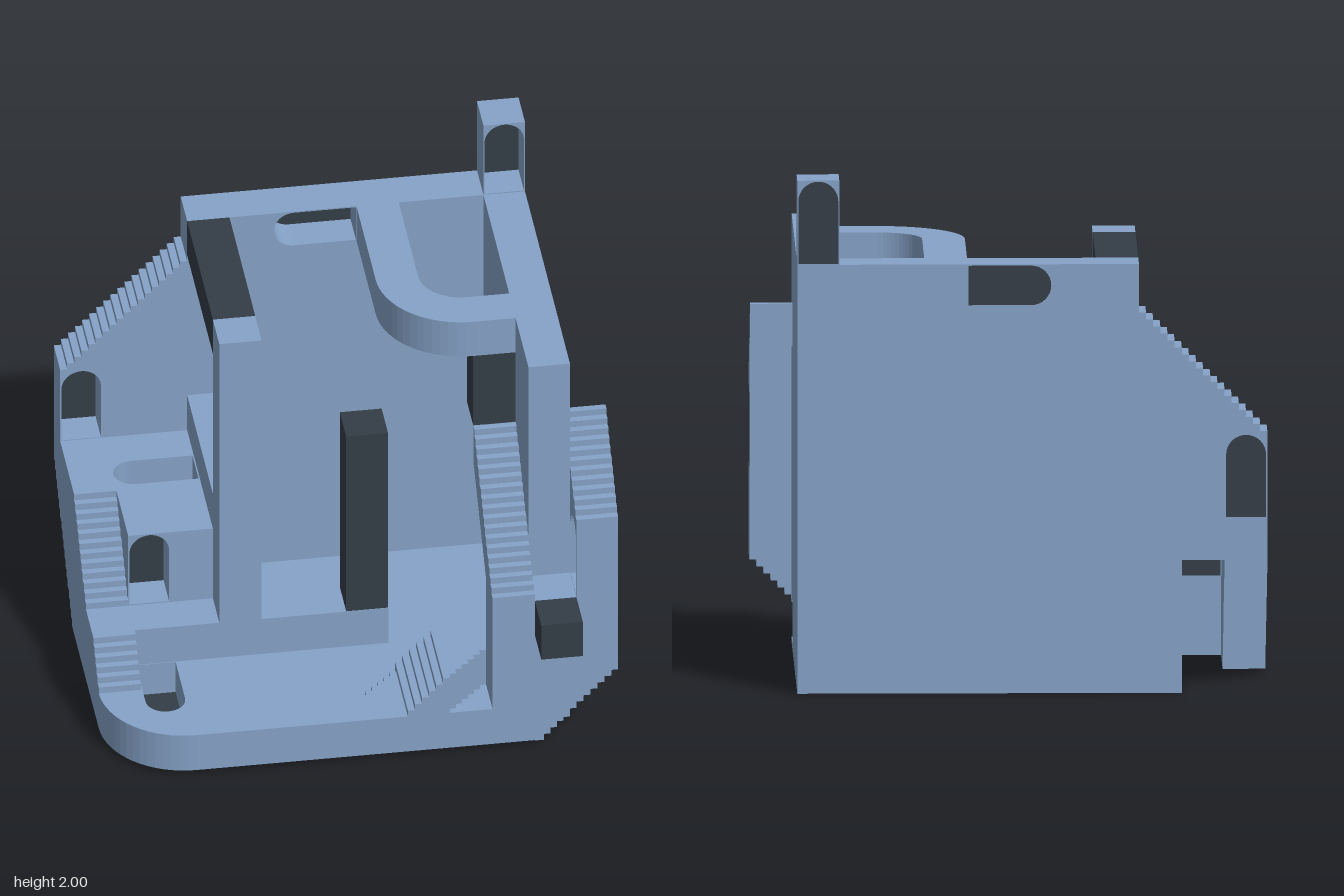
import * as THREE from 'three';

const STEP = 0.0275;
const main = new THREE.MeshStandardMaterial({ color: 0x86a3c8, flatShading: true });
const dark = new THREE.MeshStandardMaterial({ color: 0x343d47, flatShading: true });

// Fine staircase between two points; vFirst picks which way each step turns first
function stairs(a, b, vFirst = false) {
  const n = Math.round(Math.abs(b[0] - a[0]) / STEP);
  const dx = (b[0] - a[0]) / n, dy = (b[1] - a[1]) / n;
  const out = [];
  for (let i = 0; i < n; i++) {
    const x = a[0] + i * dx, y = a[1] + i * dy;
    out.push([x, y], vFirst ? [x, y + dy] : [x + dx, y]);
  }
  out.push(b);
  return out;
}

// Outline of a round-ended doorway: middle of its sill, and heading of its round end
function slot(x, y, angle) {
  const r = 0.077, len = 0.32, pts = [[0, -r]];
  for (let i = 0; i <= 16; i++) {
    const t = -Math.PI / 2 + (Math.PI * i) / 16;
    pts.push([len - r + r * Math.cos(t), r * Math.sin(t)]);
  }
  pts.push([0, r]);
  const c = Math.cos(angle), s = Math.sin(angle);
  return pts.map(([u, v]) => [x + u * c - v * s, y + u * s + v * c]);
}

const toV = (pts) => pts.map((p) => new THREE.Vector2(p[0], p[1]));

export function createModel() {
  const model = new THREE.Group();

  function add(name, geo, mat = main) {
    const mesh = new THREE.Mesh(geo, mat);
    mesh.name = name;
    model.add(mesh);
  }
  function box(name, x0, x1, y0, y1, z0, z1, mat) {
    const g = new THREE.BoxGeometry(x1 - x0, y1 - y0, z1 - z0);
    add(name, g.translate((x0 + x1) / 2, (y0 + y1) / 2, (z0 + z1) / 2), mat);
  }
  // Profiles: axis z uses (x, y), axis x uses (z, y), axis y uses (x, z)
  function slab(name, axis, pts, lo, hi, holes = [], mat = main) {
    const shape = new THREE.Shape(toV(pts));
    shape.holes = holes.map((h) => new THREE.Path(toV(h)));
    const g = new THREE.ExtrudeGeometry(shape, { depth: hi - lo, bevelEnabled: false });
    if (axis === 'z') g.translate(0, 0, lo);
    if (axis === 'x') g.rotateY(-Math.PI / 2).translate(hi, 0, 0);
    if (axis === 'y') g.rotateX(Math.PI / 2).translate(0, hi, 0);
    add(name, g, mat);
  }
  const UP = Math.PI / 2;

  // Base and back wall with a stepped corner and a lower notch
  box('basePlate', -0.66, 0.822, 0, 0.022, -0.825, 0.495);
  const backDoor = slot(-0.908, 0.685, UP), backSlot = slot(0.163, 1.59, Math.PI);
  slab('backWall', 'z', [
    [-0.66, 0.02], [0.66, 0.02], [0.66, 1.672], [-0.495, 1.672],
    ...stairs([-0.495, 1.51], [-0.99, 1.02], true),
    [-0.99, 0.517], [-0.66, 0.517],
  ], -0.825, -0.66, [backDoor, backSlot]);
  slab('backDoorPanel', 'z', backDoor, -0.825, -0.8, [], dark);
  slab('backSlotPanel', 'z', backSlot, -0.825, -0.8, [], dark);

  // Right-hand wall with a low opening, and the tall corner post
  slab('sideWall', 'x', [
    [-0.825, 0.02], [0.33, 0.02], [0.33, 0.187], [0.495, 0.187], [0.495, 1.672], [-0.825, 1.672],
  ], 0.66, 0.822);
  const postDoor = slot(0.741, 1.676, UP);
  slab('cornerPost', 'z', [[0.66, 1.672], [0.822, 1.672], [0.822, 2], [0.66, 2]], -0.825, -0.66, [postDoor]);
  slab('cornerPostPanel', 'z', postDoor, -0.825, -0.8, [], dark);

  // Curved upper walkway
  const arc = (r) => Array.from({ length: 17 }, (_, i) => {
    const t = Math.PI - (i / 16) * (Math.PI / 2);
    return [0.495 + r * Math.cos(t), -0.165 + r * Math.sin(t)];
  });
  slab('curvedWalkway', 'y',
    [[0.165, -0.66], ...arc(0.33), [0.66, 0.165], [0.66, 0], ...arc(0.165).reverse(), [0.33, -0.66]],
    1.51, 1.672);
  box('walkwayPillar', 0.495, 0.66, 1.18, 1.51, 0, 0.163, dark);

  // Inner flight of stairs and its landing
  slab('innerStairs', 'x', [
    ...stairs([0.165, 1.18], [0.66, 0.685]), [0.66, 0.187], [0.495, 0.187], [0.495, 0.685], [0.165, 1.015],
  ], 0.495, 0.66);
  slab('landing', 'z', [
    [0.66, 0.02], ...stairs([0.67, 0.02], [0.822, 0.185]), [0.822, 0.682], [0.66, 0.682],
  ], 0.495, 0.66);
  box('landingBlock', 0.66, 0.822, 0.52, 0.682, 0.66, 0.825, dark);

  // Outer flight with a doorway, and its stepped bracket below
  const sideDoor = slot(0.578, 0.685, UP);
  slab('outerStairs', 'x', [
    ...stairs([0.33, 1.345], [0.66, 1.02]), [0.66, 0.35], [0.495, 0.35], [0.495, 1.18], [0.33, 1.18],
  ], 0.822, 0.985, [sideDoor]);
  slab('outerDoorPanel', 'x', sideDoor, 0.96, 0.985, [], dark);
  slab('outerBracket', 'z', [...stairs([0.822, 0.187], [0.985, 0.35]), [0.822, 0.35]], 0.495, 0.66);

  // Front deck: rounded corner, stepped inner edge
  const corner = Array.from({ length: 17 }, (_, i) => {
    const t = Math.PI / 2 + (i / 16) * (Math.PI / 2);
    return [-0.66 + 0.33 * Math.cos(t), 0.33 + 0.33 * Math.sin(t)];
  });
  const deckSlot = slot(-0.743, 0.168, UP);
  slab('frontDeck', 'y', [
    ...corner, [-0.99, 0.165],
    ...stairs([-0.66, 0.165], [-0.33, 0.495], true),
    ...stairs([0, 0.495], [0.165, 0.33]),
    ...stairs([0.495, 0.33], [0.66, 0.495]), [0.66, 0.66],
  ], 0.022, 0.187, [deckSlot]);
  slab('deckSlotPanel', 'y', deckSlot, 0.022, 0.045, [], dark);

  // Small ramp and platform with a stepped corner on the deck
  slab('deckRamp', 'z', [
    ...stairs([0.165, 0.187], [0.33, 0.352], true), [0.33, 0.187],
  ], 0.33, 0.66);
  slab('deckPlatform', 'y', [
    [0.33, 0.33], [0.495, 0.33], ...stairs([0.495, 0.495], [0.33, 0.66]),
  ], 0.187, 0.352);

  // Left-hand side stairs with a stepped underside
  slab('sideStairs', 'x', [
    ...stairs([-0.825, 0.517], [-0.33, 0.022], true),
    [0.33, 0.022],
    ...stairs([0.33, 0.187], [0.165, 0.352], true),
    ...stairs([0, 0.352], [-0.33, 0.682], true),
    [-0.66, 0.682], [-0.66, 0.517],
  ], -0.99, -0.825);

  // Left terrace: slotted floor, front wall with doorway, inner wall
  const floorSlot = slot(-0.5, -0.413, Math.PI);
  slab('terraceFloor', 'y', [
    [-0.825, -0.66], [-0.495, -0.66], [-0.495, -0.165], [-0.825, -0.165],
  ], 0.517, 0.682, [floorSlot]);
  slab('terraceSlotPanel', 'y', floorSlot, 0.517, 0.54, [], dark);
  const terraceDoor = slot(-0.743, 0.357, UP);
  slab('terraceFrontWall', 'z', [
    [-0.825, 0.352], [-0.495, 0.352], [-0.495, 0.682], [-0.825, 0.682],
  ], -0.165, 0, [terraceDoor]);
  slab('terraceDoorPanel', 'z', terraceDoor, -0.165, -0.14, [], dark);
  box('terraceInnerWall', -0.495, -0.33, 0.517, 0.847, -0.66, 0);

  // Cross beam, tall post, overhead bar and upright block
  box('crossBeam', -0.825, 0.165, 0.187, 0.352, 0, 0.165);
  box('beamFoot', -0.825, -0.66, 0.022, 0.187, 0, 0.165);
  box('tallPost', -0.495, -0.33, 0.352, 1.672, 0, 0.165);
  box('overheadBar', -0.495, -0.33, 1.51, 1.672, -0.66, 0, dark);
  box('uprightBlock', 0, 0.163, 0.352, 1.18, 0, 0.163, dark);

  return model;
}
